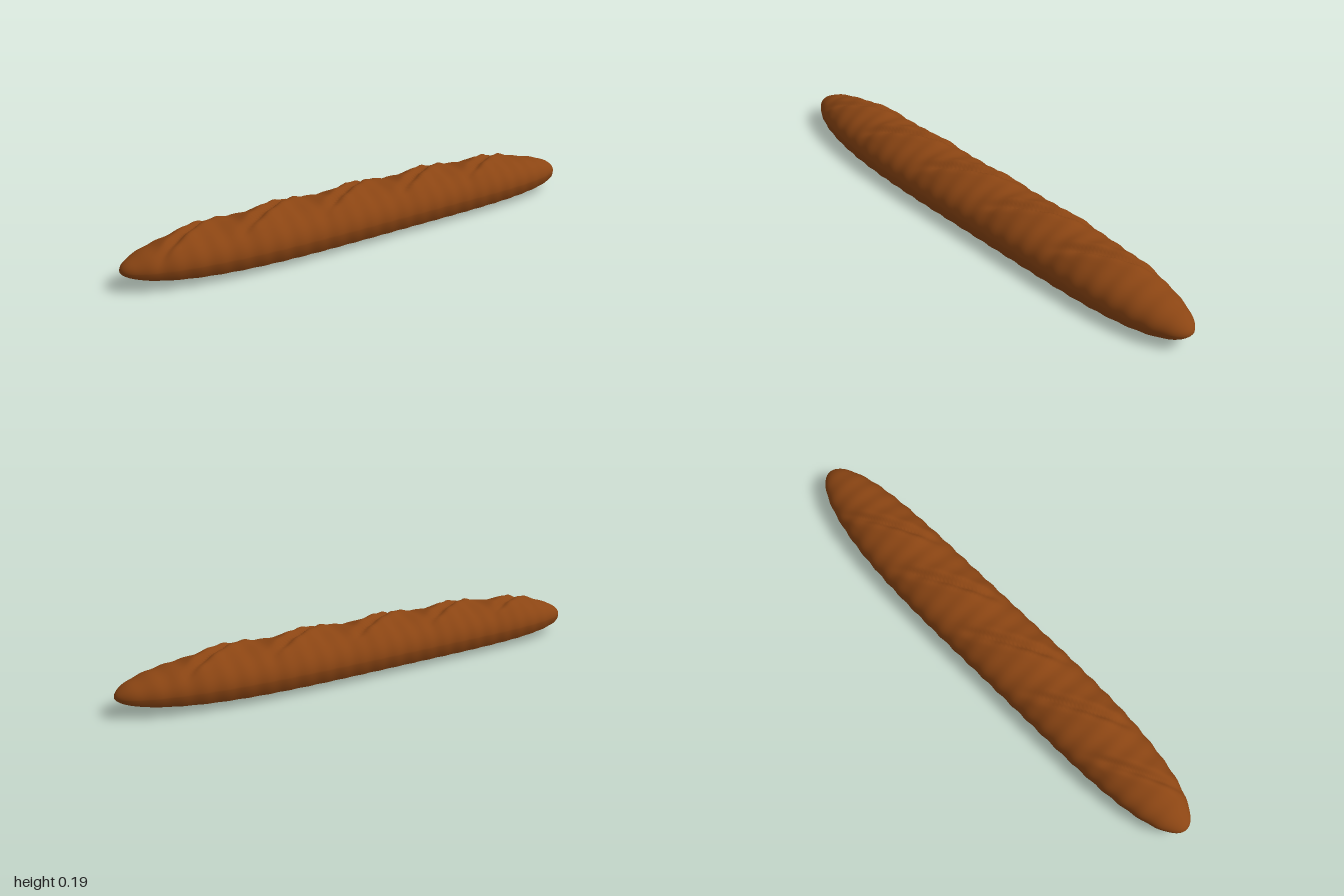
import * as THREE from 'three';

const RINGS = 220, TOP = 56, UNDER = 14;
const SLASHES = [-0.75, -0.42, -0.07, 0.28, 0.62];

// Height added by the diagonal cuts: a broad raised lip with a narrow groove in it
function slashHeight(x, z) {
  let h = 0;
  for (const c of SLASHES) {
    const dx = x - c;
    const along = (dx - 0.55 * z) / 1.141, across = (0.55 * dx + z) / 1.141;
    const fade = Math.exp(-Math.pow(along / 0.18, 4));
    h += fade * (0.025 * Math.exp(-Math.pow(across / 0.05, 2))
      - 0.028 * Math.exp(-Math.pow(across / 0.014, 2)));
  }
  return h;
}

// Unit cross-section: domed crust, then a gently bowed underside
function sectionProfile() {
  const pts = [];
  for (let j = 0; j <= TOP; j++) {
    const a = Math.PI * j / TOP;
    pts.push({ z: Math.cos(a), y: Math.sin(a) });
  }
  for (let j = 0; j <= UNDER; j++) {
    const u = -1 + 2 * j / UNDER;
    pts.push({ z: 0.96 * u, y: -(1 - 0.36 * u * u) });
  }
  return pts;
}

function loafGeometry() {
  const profile = sectionProfile(), n = profile.length;
  const pos = [], index = [];
  for (let i = 0; i <= RINGS; i++) {
    const x = Math.sin(Math.PI * (i / RINGS - 0.5));
    const s = Math.sqrt(Math.max(0, 1 - x ** 4)); // blunt rounded ends
    const ripple = 0.002 * Math.sin(x * 80) * s;
    const bend = -0.009 * Math.sin(Math.PI * x); // slight sideways bow
    for (const p of profile) {
      const up = Math.max(0, p.y);
      let z = p.z * (0.144 * s + ripple);
      let y = 0.07 + p.y * s * (p.y > 0 ? 0.108 : 0.067);
      if (up > 0) {
        const h = slashHeight(x, z) * s * Math.min(1, up * 1.4);
        y += h * up + ripple * up;
        z += h * p.z * 0.5;
      }
      pos.push(x, y, z + bend);
    }
  }
  for (let i = 0; i < RINGS; i++) {
    for (let j = 0; j < n; j++) {
      const k = (j + 1) % n;
      const a = i * n + j, b = a + n, c = i * n + k, d = c + n;
      index.push(a, b, c, b, d, c);
    }
  }
  const g = new THREE.BufferGeometry();
  g.setAttribute('position', new THREE.Float32BufferAttribute(pos, 3));
  g.setIndex(index);
  g.computeVertexNormals();
  return g;
}

export function createModel() {
  const group = new THREE.Group();
  group.name = 'baguette';
  const crust = new THREE.MeshStandardMaterial({ color: 0x8b4513 });
  crust.name = 'crust brown';
  const loaf = new THREE.Mesh(loafGeometry(), crust);
  loaf.name = 'loaf';
  group.add(loaf);
  return group;
}
